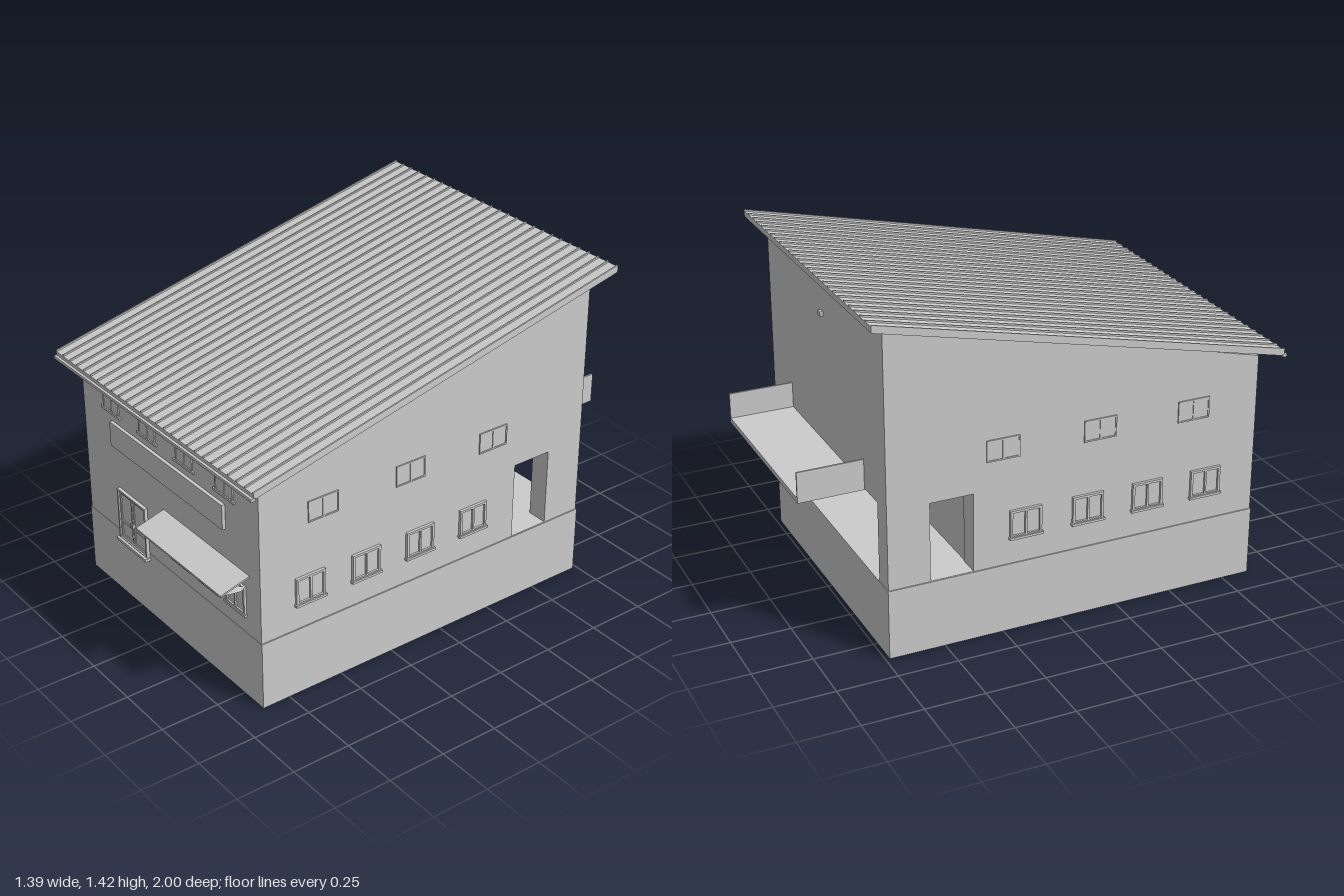
import * as THREE from 'three';

const wallGray = new THREE.MeshStandardMaterial({ color: 0xcccccc, side: THREE.DoubleSide });
wallGray.name = 'plain gray';

function add(parent, name, geometry, x = 0, y = 0, z = 0) {
  const mesh = new THREE.Mesh(geometry, wallGray);
  mesh.name = name;
  mesh.position.set(x, y, z);
  parent.add(mesh);
  return mesh;
}

// Box given by its lower and upper limits
function box(parent, name, [x0, x1], [y0, y1], [z0, z1]) {
  return add(parent, name, new THREE.BoxGeometry(x1 - x0, y1 - y0, z1 - z0),
    (x0 + x1) / 2, (y0 + y1) / 2, (z0 + z1) / 2);
}

// Closed outline from [a, b] points
const outline = (points) => new THREE.Shape(points.map(([a, b]) => new THREE.Vector2(a, b)));
const rect = (a0, a1, b0, b1) => [[a0, b0], [a1, b0], [a1, b1], [a0, b1]];

// Side profile given as [z, y], extruded across x from x0 to x1
function sideProfile(parent, name, points, x0, x1, holes = []) {
  const shape = outline(points.map(([z, y]) => [-z, y]));
  for (const hole of holes) shape.holes.push(outline(hole.map(([z, y]) => [-z, y])));
  const geometry = new THREE.ExtrudeGeometry(shape, { depth: x1 - x0, bevelEnabled: false });
  geometry.rotateY(Math.PI / 2);
  return add(parent, name, geometry, x0);
}

// Window with two panes, centred on x and standing on y = 0, facing +z
function makeWindow(name, w, h, depth, sillDepth, sillWidth, frame = 0.01) {
  const group = new THREE.Group();
  group.name = name;
  const shape = outline(rect(-w / 2, w / 2, 0, h));
  shape.holes.push(outline(rect(-w / 2 + frame, -0.004, frame, h - frame)));
  shape.holes.push(outline(rect(0.004, w / 2 - frame, frame, h - frame)));
  add(group, 'windowFrame', new THREE.ExtrudeGeometry(shape, { depth, bevelEnabled: false }));
  box(group, 'windowPane', [-w / 2 + frame, w / 2 - frame], [frame, h - frame], [0, 0.003]);
  if (sillDepth) box(group, 'windowSill', [-sillWidth / 2, sillWidth / 2], [-0.005, 0.005], [0, sillDepth]);
  return group;
}

function makeBody() {
  const body = new THREE.Group();
  body.name = 'building';
  box(body, 'basePlinth', [-0.625, 0.625], [0, 0.295], [-0.733, 0.872]);
  // Middle of the building, with the recessed loading bay at the back
  sideProfile(body, 'mainWalls', [[0.87, 0.295], [0.87, 0.975], [-0.73, 1.377], [-0.73, 0.63],
    [-0.37, 0.63], [-0.37, 0.295]], -0.53, 0.53);
  // Side walls, each with a doorway into the bay
  const profile = [[0.87, 0.295], [0.87, 0.975], [-0.73, 1.377], [-0.73, 0.295]];
  const doorway = rect(-0.555, -0.375, 0.2965, 0.63);
  sideProfile(body, 'leftWall', profile, 0.53, 0.62, [doorway]);
  sideProfile(body, 'rightWall', profile, -0.62, -0.53, [doorway]);
  return body;
}

function makeRoof() {
  const roof = new THREE.Group();
  roof.name = 'roof';
  sideProfile(roof, 'roofSlab', [[0.94, 0.99], [0.94, 1.014], [-0.8, 1.414], [-0.8, 1.39]], -0.695, 0.695);
  // Standing seams running down the slope
  const ribs = 26, step = 1.385 / ribs;
  for (let i = 0; i <= ribs; i++) {
    const x = -0.6925 + i * step;
    sideProfile(roof, 'roofSeam', [[0.94, 1.013], [0.94, 1.021], [-0.8, 1.421], [-0.8, 1.413]],
      x - 0.003, x + 0.003);
  }
  box(roof, 'eavesGutter', [-0.697, 0.697], [0.985, 0.998], [0.932, 0.951]);
  return roof;
}

function makeFrontDoor() {
  const door = new THREE.Group();
  door.name = 'frontDoor';
  const frame = outline(rect(-0.105, 0.105, 0.275, 0.508));
  frame.holes.push(outline(rect(-0.096, 0.096, 0.28, 0.499)));
  add(door, 'doorFrame', new THREE.ExtrudeGeometry(frame, { depth: 0.014, bevelEnabled: false }));
  for (const s of [-1, 1]) {
    const leaf = outline(rect(-0.047, 0.047, 0.28, 0.499));
    leaf.holes.push(outline(rect(-0.038, 0.038, 0.295, 0.355)));
    leaf.holes.push(outline(rect(-0.038, 0.038, 0.365, 0.489)));
    add(door, 'doorLeaf', new THREE.ExtrudeGeometry(leaf, { depth: 0.008, bevelEnabled: false }), s * 0.0485);
    box(door, 'doorHandle', [s * 0.006 - 0.003, s * 0.006 + 0.003], [0.365, 0.385], [0.006, 0.016]);
  }
  box(door, 'doorPanel', [-0.096, 0.096], [0.28, 0.499], [0, 0.004]);
  box(door, 'threshold', [-0.111, 0.111], [0.264, 0.277], [0, 0.025]);
  door.position.set(-0.268, 0, 0.872);
  return door;
}

function makeAwning() {
  const awning = new THREE.Group();
  awning.name = 'awning';
  sideProfile(awning, 'awningTop', [[0.868, 0.557], [0.868, 0.565], [1, 0.528], [1, 0.52]], -0.04, 0.55);
  // Inward-sloping cloth with a scalloped edge
  const length = 0.121, count = 12, step = 0.58 / count;
  const cloth = new THREE.Shape();
  cloth.moveTo(0, 0);
  cloth.lineTo(0, length - 0.03);
  for (let i = 0; i < count; i++) {
    cloth.quadraticCurveTo((i + 0.5) * step, length + 0.03, (i + 1) * step, length - 0.03);
  }
  cloth.lineTo(0.58, 0);
  const geometry = new THREE.ShapeGeometry(cloth, 5);
  geometry.rotateX(-Math.PI / 2 - 0.16);
  add(awning, 'scallopedCloth', geometry, -0.035, 0.522, 0.998);
  return awning;
}

function makeCanopy() {
  const canopy = new THREE.Group();
  canopy.name = 'loadingCanopy';
  box(canopy, 'canopySlab', [-0.4, 0.4], [0.624, 0.645], [-1, -0.725]);
  for (const s of [-1, 1]) {
    box(canopy, 'canopySidePanel', [s * 0.396 - 0.004, s * 0.396 + 0.004], [0.645, 0.753], [-1, -0.725]);
  }
  return canopy;
}

export function createModel() {
  const model = new THREE.Group();
  model.name = 'warehouseShop';
  model.add(makeBody(), makeRoof(), makeFrontDoor(), makeAwning(), makeCanopy());
  box(model, 'signBoard', [-0.4, 0.4], [0.695, 0.803], [0.865, 0.884]);
  box(model, 'backWallHook', [-0.012, 0.012], [1.195, 1.215], [-0.743, -0.728]);

  // Shop windows below the awning and small windows under the eaves
  for (const x of [0.088, 0.282, 0.46]) {
    const window = makeWindow('shopWindow', 0.13, 0.127, 0.01, 0.014, 0.142);
    window.position.set(x, 0.376, 0.87);
    model.add(window);
  }
  for (const x of [-0.4, -0.133, 0.13, 0.4]) {
    const window = makeWindow('eavesWindow', 0.115, 0.09, 0.005, 0.008, 0.14, 0.006);
    window.position.set(x, 0.842, 0.87);
    model.add(window);
  }

  // Side windows, mirrored on both long walls
  for (const s of [-1, 1]) {
    for (const z of [0.645, 0.38, 0.115, -0.155]) {
      const window = makeWindow('lowerSideWindow', 0.135, 0.118, 0.012, 0.018, 0.145);
      window.position.set(s * 0.62, 0.408, z);
      window.rotation.y = s * Math.PI / 2;
      model.add(window);
    }
    for (const z of [0.58, 0.165, -0.25]) {
      const window = makeWindow('upperSideWindow', 0.14, 0.09, 0.006, 0, 0, 0.006);
      window.position.set(s * 0.62, 0.752, z);
      window.rotation.y = s * Math.PI / 2;
      model.add(window);
    }
  }
  return model;
}
